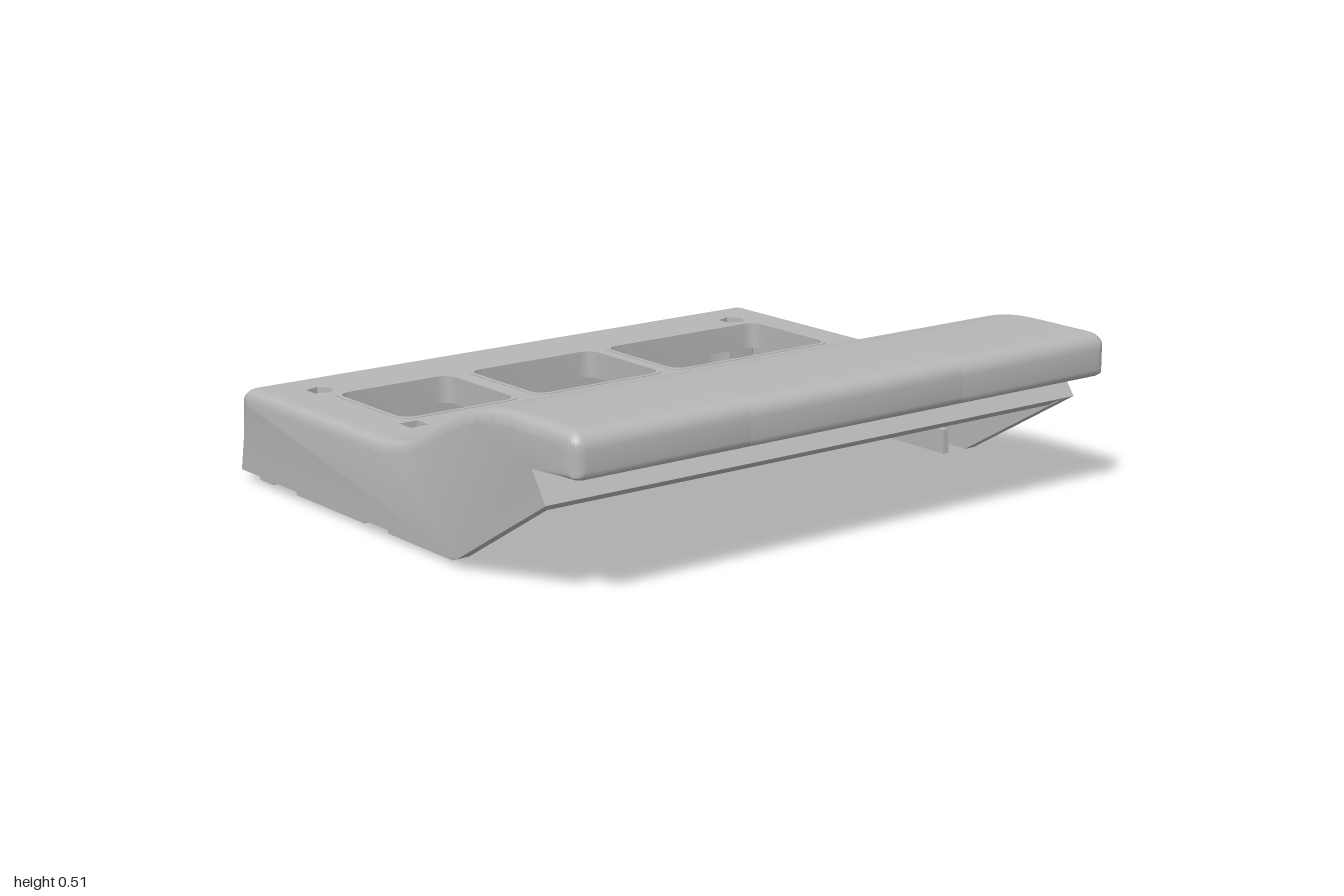
import * as THREE from 'three';
import { toCreasedNormals } from 'three/addons/utils/BufferGeometryUtils.js';

const V = (z, y) => new THREE.Vector2(-z, y);

// quarter-round points between two angles (degrees), in z/y
function arc(cz, cy, r, a0, a1, n = 6) {
  return Array.from({ length: n + 1 }, (_, i) => {
    const a = THREE.MathUtils.degToRad(a0 + (a1 - a0) * i / n);
    return V(cz + r * Math.cos(a), cy + r * Math.sin(a));
  });
}

// z/y outline extruded across x
function acrossX(points, x0, x1, steps = 1) {
  const g = new THREE.ExtrudeGeometry(new THREE.Shape(points), { depth: x1 - x0, steps, bevelEnabled: false });
  return g.translate(0, 0, x0).rotateY(Math.PI / 2);
}

// x/z shape extruded upwards from y0 to y1 (shape y is -z)
function upwards(shape, y0, y1) {
  const g = new THREE.ExtrudeGeometry(shape, { depth: y1 - y0, bevelEnabled: false, curveSegments: 6 });
  return g.rotateX(-Math.PI / 2).translate(0, y0, 0);
}

function roundRect(P, x0, x1, z0, z1, r) {
  const p = new P(), a = -z1, b = -z0;
  p.moveTo(x0 + r, a);
  p.lineTo(x1 - r, a); p.quadraticCurveTo(x1, a, x1, a + r);
  p.lineTo(x1, b - r); p.quadraticCurveTo(x1, b, x1 - r, b);
  p.lineTo(x0 + r, b); p.quadraticCurveTo(x0, b, x0, b - r);
  p.lineTo(x0, a + r); p.quadraticCurveTo(x0, a, x0 + r, a);
  return p;
}

function polygonPath(P, x, z, r, n) {
  const off = n === 4 ? Math.PI / 4 : 0;
  return new P(Array.from({ length: n }, (_, i) => {
    const a = off + i * 2 * Math.PI / n;
    return new THREE.Vector2(x + r * Math.cos(a), -z + r * Math.sin(a));
  }));
}

export function createModel() {
  const group = new THREE.Group();
  const grey = new THREE.MeshStandardMaterial({ color: 0xb6b6b6 });
  grey.name = 'grey plastic';
  const add = (name, geo) => {
    const m = new THREE.Mesh(toCreasedNormals(geo, 0.6), grey);
    m.name = name;
    group.add(m);
  };

  const inner = 0.96, ceiling = 0.25, deckTop = 0.295, deckEnd = -0.12;

  // shared profile: nose and wave-shaped top
  const nose = [V(0.69, 0.375), ...arc(0.865, 0.4, 0.025, -90, 0, 4), ...arc(0.84, 0.46, 0.05, 0, 90)];
  const wave = new THREE.SplineCurve([
    V(0.68, 0.51), V(0.55, 0.508), V(0.45, 0.494), V(0.35, 0.463), V(0.25, 0.415),
    V(0.15, 0.361), V(0.06, 0.322), V(-0.03, 0.301), V(deckEnd, deckTop),
  ]).getPoints(40);
  const back = arc(-0.84, 0.245, 0.05, 90, 180);

  // side walls with rounded outer top edges
  const wallOutline = [V(-0.89, 0.03), V(0.32, 0.03), V(0.755, 0.285), ...nose, ...wave, ...back];
  const r = 0.04;
  for (const [name, x0] of [['leftSideWall', inner], ['rightSideWall', -1]]) {
    const g = acrossX(wallOutline, x0, x0 + r, 6);
    const p = g.attributes.position;
    for (let i = 0; i < p.count; i++) {
      const t = Math.max(0, Math.abs(p.getX(i)) - (1 - r));
      const d = r - Math.sqrt(Math.max(0, r * r - t * t));
      let y = p.getY(i), z = p.getZ(i);
      if (z < 0.6 ? y > 0.27 : y > 0.44) y -= d;
      else if (z > 0.8 && y > 0.36 && y < 0.41) y += d * 0.5;
      if (p.getY(i) > 0.24) z = THREE.MathUtils.clamp(z, -0.89 + d, 0.89 - d);
      p.setXYZ(i, p.getX(i), y, z);
    }
    add(name, g);
  }

  // front hump, solid at both sides and hollow in the middle
  const lip = [V(0.715, 0.265), V(0.755, 0.285), ...nose, ...wave];
  const solid = [V(deckEnd, ceiling), V(0.69, ceiling), ...lip];
  const hollow = [V(deckEnd, ceiling), V(0.08, ceiling), V(0.08, 0.285), V(0.2, 0.35),
    V(0.35, 0.42), V(0.47, 0.445), V(0.47, ceiling), V(0.69, ceiling), ...lip];
  add('humpLeft', acrossX(solid, 0.4, inner));
  add('humpMiddle', acrossX(hollow, -0.4, 0.4));
  add('humpRight', acrossX(solid, -inner, -0.4));

  // rear wall with rounded top
  add('rearWall', acrossX([V(-0.89, 0.03), V(-0.84, 0.03), ...back], -inner, inner));

  // deck with windows and screw recesses
  const windows = [[-0.81, -0.4], [-0.32, 0.16], [0.22, 0.85]];
  const screws = [];
  for (const x of [-0.82, 0.82]) screws.push([x, -0.7, 5], [x, -0.17, 4]);
  const deck = new THREE.Shape([
    new THREE.Vector2(-inner, -deckEnd), new THREE.Vector2(inner, -deckEnd),
    new THREE.Vector2(inner, 0.84), new THREE.Vector2(-inner, 0.84),
  ]);
  for (const [a, b] of windows) deck.holes.push(roundRect(THREE.Path, a, b, -0.62, -0.24, 0.05));
  for (const [x, z, n] of screws) deck.holes.push(polygonPath(THREE.Path, x, z, 0.045, n));
  add('deck', upwards(deck, ceiling, deckTop));

  // rims lining the windows
  for (const [a, b] of windows) {
    const rim = roundRect(THREE.Shape, a - 0.015, b + 0.015, -0.635, -0.225, 0.06);
    rim.holes.push(roundRect(THREE.Path, a, b, -0.62, -0.24, 0.05));
    add('windowRim', upwards(rim, 0.21, deckTop + 0.002));
  }

  // screw posts below the deck
  for (const [x, z] of screws) {
    const post = roundRect(THREE.Shape, x - 0.055, x + 0.055, z - 0.05, z + 0.05, 0.005);
    post.holes.push(polygonPath(THREE.Path, x, z, 0.025, 5));
    add('screwPost', upwards(post, 0.1, 0.27));
  }

  // locating lips along the lower edge
  const box = (name, x0, x1, y0, y1, z0, z1) => add(name,
    new THREE.BoxGeometry(x1 - x0, y1 - y0, z1 - z0).translate((x0 + x1) / 2, (y0 + y1) / 2, (z0 + z1) / 2));
  for (const s of [-1, 1]) {
    for (const [z0, z1] of [[-0.1, 0.24], [-0.62, -0.23], [-0.84, -0.76]]) {
      box('sideLip', s * 0.952 - 0.012, s * 0.952 + 0.012, 0, 0.08, z0, z1);
    }
  }
  box('rearLip', -0.95, 0.95, 0, 0.08, -0.842, -0.815);

  return group;
}
